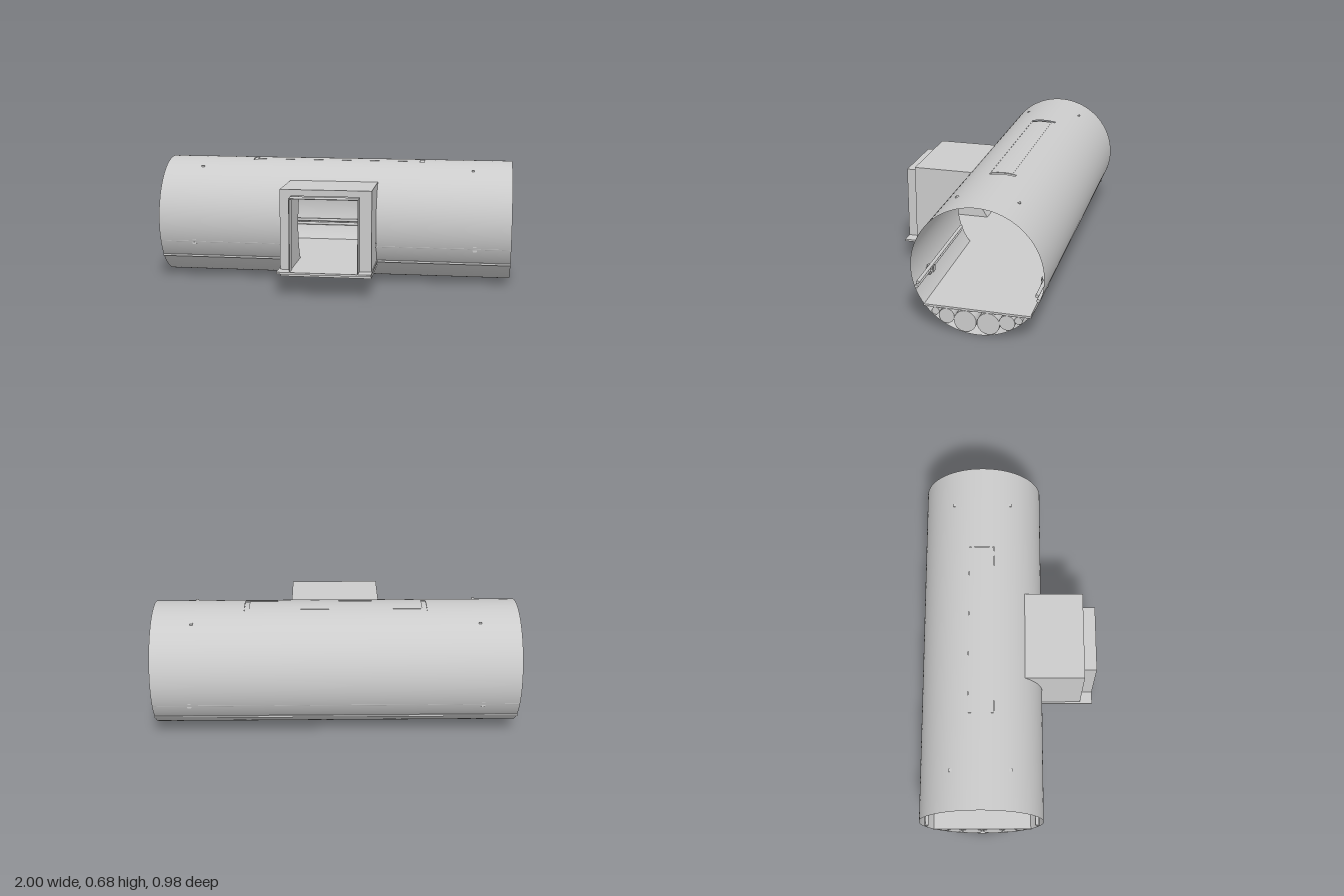
import * as THREE from 'three';

const R = 0.34, CY = 0.34, CZ = -0.15; // hull radius and axis
const mat = new THREE.MeshStandardMaterial({ color: 0xcccccc, side: THREE.DoubleSide });

export function createModel() {
  const root = new THREE.Group();
  const group = (name) => {
    const g = new THREE.Group();
    g.name = name;
    root.add(g);
    return g;
  };
  const add = (parent, name, geo) => {
    const m = new THREE.Mesh(geo, mat);
    m.name = name;
    parent.add(m);
    return m;
  };
  // Box given by its limits
  const box = (p, name, x0, x1, y0, y1, z0, z1) =>
    add(p, name, new THREE.BoxGeometry(x1 - x0, y1 - y0, z1 - z0))
      .position.set((x0 + x1) / 2, (y0 + y1) / 2, (z0 + z1) / 2);
  // Rod along x
  const rod = (p, name, r, x0, x1, y, z, seg = 16) =>
    add(p, name, new THREE.CylinderGeometry(r, r, x1 - x0, seg).rotateZ(Math.PI / 2))
      .position.set((x0 + x1) / 2, y, z);
  // Profile drawn in (z, y), extruded along x
  const extrudeX = (p, name, shape, x0, x1) =>
    add(p, name, new THREE.ExtrudeGeometry(shape, { depth: x1 - x0, bevelEnabled: false, curveSegments: 24 })
      .rotateY(-Math.PI / 2).translate(x1, 0, 0));

  // Hull: thin tube in patches, leaving the doorway and the roof window open
  const hull = group('hull');
  const angleAt = (y) => Math.asin((y - CY) / R);
  const d0 = angleAt(0.138), d1 = angleAt(0.545);
  const top = Math.PI / 2, half = Math.asin(0.07 / R);
  const patch = (x0, x1, a0, a1) => {
    const seg = Math.max(4, Math.ceil((a1 - a0) / 0.06));
    add(hull, 'hullSkin', new THREE.CylinderGeometry(R, R, x1 - x0, seg, 1, true, a0, a1 - a0)
      .rotateZ(Math.PI / 2)).position.set((x0 + x1) / 2, CY, CZ);
  };
  patch(-1, -0.19, d0, d1);
  patch(0.185, 1, d0, d1);
  patch(-1, 1, d1, top - half);
  patch(-1, -0.5, top - half, top + half);
  patch(0.5, 1, top - half, top + half);
  patch(-1, 1, top + half, Math.PI * 2 + d0);

  // Roof window: curved frame strips around a curved pane
  const roof = group('roofWindow');
  const arcStrip = (name, x0, x1, z0, z1, rOut) => {
    const s = new THREE.Shape();
    const a0 = Math.acos(z1 / R), a1 = Math.acos(z0 / R);
    s.absarc(CZ, CY, rOut, a0, a1, false);
    s.absarc(CZ, CY, 0.322, a1, a0, true);
    s.closePath();
    extrudeX(roof, name, s, x0, x1);
  };
  for (const s of [-1, 1]) {
    arcStrip('windowFrameEnd', s > 0 ? 0.475 : -0.5, s > 0 ? 0.5 : -0.475, -0.07, 0.07, 0.336);
    arcStrip('windowFrameSide', -0.475, 0.475, s > 0 ? 0.05 : -0.07, s > 0 ? 0.07 : -0.05, 0.339);
  }
  arcStrip('windowPane', -0.475, 0.475, -0.05, 0.05, 0.34);

  // Deck and entrance sill
  const deck = group('deck');
  box(deck, 'floor', -1, 1, 0.127, 0.138, -0.428, 0.127);
  box(deck, 'sill', -0.26, 0.255, 0.127, 0.138, 0.127, 0.49);

  // Ducts beneath the floor, mirrored about the hull axis
  const ducts = group('ducts');
  for (const [r, y, off] of [[0.02, 0.106, 0.214], [0.04, 0.086, 0.156], [0.058, 0.068, 0.06]])
    for (const s of [-1, 1]) rod(ducts, 'duct', r, -1, 1, y, CZ + s * off, 40);

  // Entrance: four walls whose inner ends follow the hull
  const entrance = group('entrance');
  const wall = (name, x0, x1, y0, y1) => {
    const s = new THREE.Shape();
    const a0 = angleAt(y0), a1 = angleAt(y1);
    s.moveTo(0.42, y0);
    s.lineTo(0.42, y1);
    s.lineTo(CZ + R * Math.cos(a1), y1);
    s.absarc(CZ, CY, R, a1, a0, true);
    s.closePath();
    extrudeX(entrance, name, s, x0, x1);
  };
  wall('entranceWall', -0.25, -0.19, 0.1, 0.58);
  wall('entranceWall', 0.185, 0.25, 0.1, 0.58);
  wall('entranceRoof', -0.19, 0.185, 0.545, 0.58);
  wall('entranceBase', -0.19, 0.185, 0.1, 0.127);

  // Thin door sleeve standing out from the entrance
  box(entrance, 'sleeveSide', -0.19, -0.186, 0.138, 0.542, 0.42, 0.49);
  box(entrance, 'sleeveSide', 0.181, 0.185, 0.138, 0.542, 0.42, 0.49);
  box(entrance, 'sleeveTop', -0.186, 0.181, 0.538, 0.542, 0.42, 0.49);
  for (const y of [0.228, 0.252]) rod(entrance, 'wallBolt', 0.004, 0.25, 0.254, y, 0.205, 8);

  // Double rails along both walls, interrupted by the doorway
  const rails = group('rails');
  const rail = (x0, x1, s) => {
    rod(rails, 'upperRail', 0.009, x0, x1, 0.252, CZ + s * 0.305);
    rod(rails, 'lowerRail', 0.009, x0, x1, 0.228, CZ + s * 0.312);
  };
  rail(-1, 1, -1);
  rail(-1, -0.25, 1);
  rail(0.25, 1, 1);

  // Rail brackets with a bolt through the hull
  for (const x of [-0.8, 0.8]) for (const s of [-1, 1]) {
    const g = group('railBracket');
    g.position.set(x, 0, CZ);
    g.rotation.y = s > 0 ? 0 : Math.PI;
    box(g, 'bracketPlate', -0.012, 0.012, 0.212, 0.262, 0.308, 0.318);
    box(g, 'bracketArm', -0.01, 0.01, 0.236, 0.245, 0.283, 0.325);
    box(g, 'bracketClamp', -0.016, 0.016, 0.225, 0.258, 0.283, 0.288);
    box(g, 'bracketFoot', -0.01, 0.01, 0.208, 0.216, 0.3, 0.317);
  }

  // Ceiling eyes hanging from the hull
  for (const x of [-0.78, 0.78]) for (const s of [-1, 1]) {
    const g = group('ceilingEye');
    g.position.set(x, 0, CZ + s * 0.16);
    box(g, 'eyeHead', -0.008, 0.008, 0.638, 0.645, -0.008, 0.008);
    box(g, 'eyeStem', -0.005, 0.005, 0.615, 0.64, -0.005, 0.005);
    add(g, 'eyeRing', new THREE.TorusGeometry(0.017, 0.005, 8, 20)).position.y = 0.598;
  }
  return root;
}
